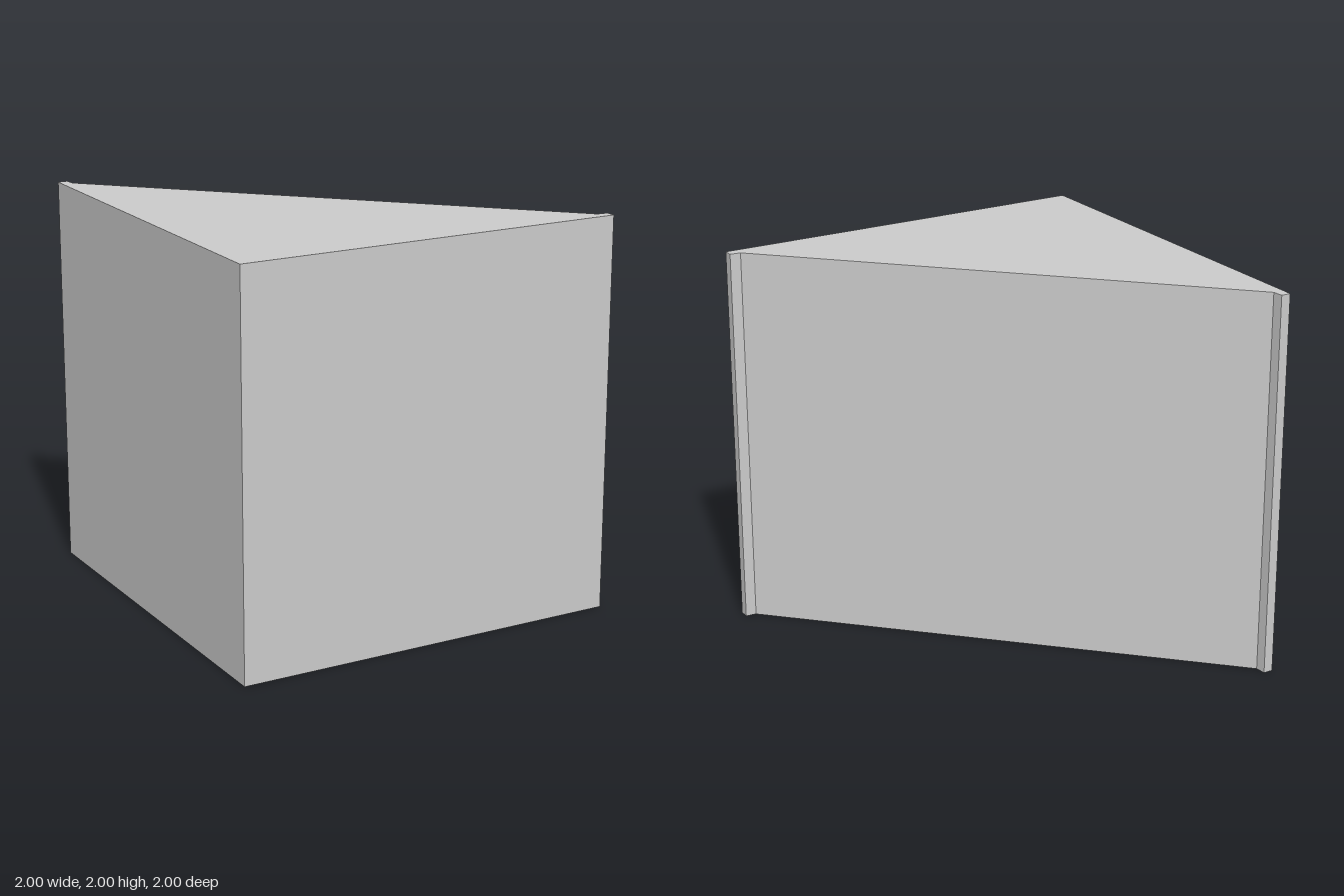
import * as THREE from 'three';

const HEIGHT = 2;

// Half of the plan outline as [x, z]; the other half mirrors it across the diagonal x = z
const LIP = [[-1, -1], [-0.95, -1], [-0.945, -0.945]];

export function createModel() {
  const group = new THREE.Group();
  group.name = 'cornerUnit';

  const material = new THREE.MeshStandardMaterial({ color: 0xcccccc, flatShading: true });

  // Triangular plan: square corner at (-1, 1), small lips at both ends of the slanted face
  const mirroredLip = [[0.945, 0.945], [1, 0.95], [1, 1]];
  const outline = [...LIP, ...mirroredLip, [-1, 1]];
  const shape = new THREE.Shape(outline.map(([x, z]) => new THREE.Vector2(x, -z)));

  // Extrude the plan upwards
  const geometry = new THREE.ExtrudeGeometry(shape, { depth: HEIGHT, bevelEnabled: false });
  geometry.rotateX(-Math.PI / 2);

  const body = new THREE.Mesh(geometry, material);
  body.name = 'cornerCabinetBody';
  group.add(body);

  return group;
}
